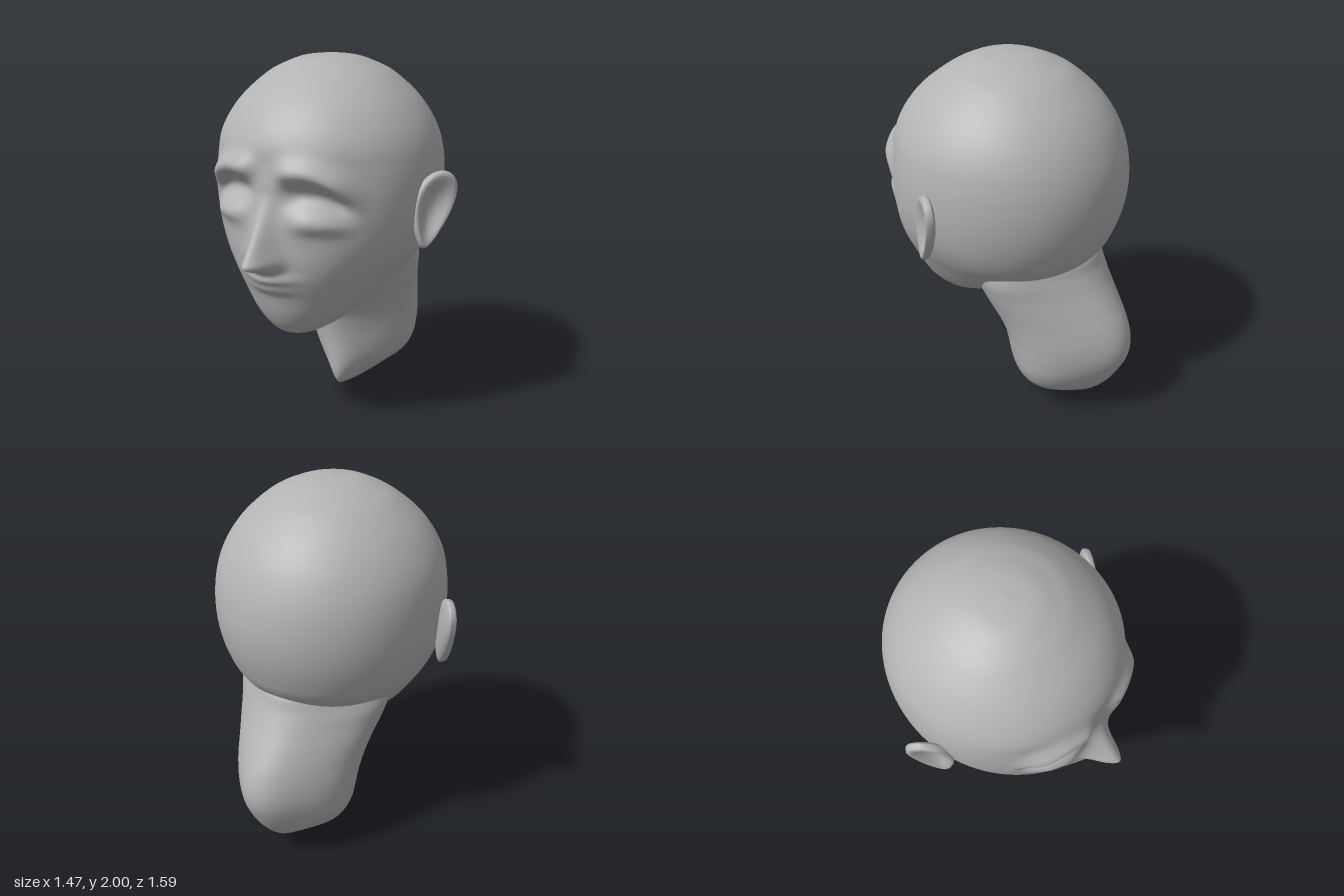
import * as THREE from 'three';

const skin = new THREE.MeshStandardMaterial({ color: 0xb3b3b3 });
skin.name = 'plain grey';

const bell = (v, c, s) => Math.exp(-(((v - c) / s) ** 2));
const step = THREE.MathUtils.smoothstep;
const band = (v, a, b, soft) => step(v, a - soft, a + soft) * (1 - step(v, b - soft, b + soft));

// Closed skin over horizontal rings; each row is [y, halfWidth, frontZ, backZ, widestZ]
function loft(rows, rings, sides, shape) {
  const spline = (f) => new THREE.CatmullRomCurve3(rows.map(f), false, 'catmullrom', 0.5);
  const a = spline((r) => new THREE.Vector3(r[0], r[1], r[2]));
  const b = spline((r) => new THREE.Vector3(r[3], r[4], 0));
  const pos = [], index = [];
  for (let i = 0; i <= rings; i++) {
    const p = a.getPoint(i / rings), q = b.getPoint(i / rings);
    for (let j = 0; j < sides; j++) {
      const t = (j / sides) * Math.PI * 2;
      pos.push(...shape(t, p.x, Math.max(p.y, 0), p.z, q.x, q.y));
      if (i === rings) continue;
      const k = i * sides + j, n = i * sides + ((j + 1) % sides);
      index.push(k, k + sides, n, n, k + sides, n + sides);
    }
  }
  const g = new THREE.BufferGeometry();
  g.setAttribute('position', new THREE.Float32BufferAttribute(pos, 3));
  g.setIndex(index);
  g.computeVertexNormals();
  return g;
}

// How far the facial features stand out from the smooth skull
function faceRelief(x, y) {
  const ax = Math.abs(x);
  // nose: ridge growing down to the tip, then tucking under
  const rise = y > 1.035
    ? Math.max(0, (1.37 - y) / 0.335) ** 1.3
    : step(y, 0.94, 1.035);
  const noseWidth = THREE.MathUtils.lerp(0.075, 0.045, step(y, 1.0, 1.35));
  let d = 0.175 * rise * bell(x, 0, noseWidth);
  d += 0.02 * bell(ax, 0.065, 0.035) * bell(y, 1.03, 0.05);
  // brow ridge, sloping down towards the temples
  const browY = 1.49 - 2.2 * Math.max(0, ax - 0.2) ** 2;
  d += (0.045 + 0.05 * ax) * bell(y, browY, 0.06) * band(ax, 0.08, 0.41, 0.07);
  // eye sockets, following the brow
  d -= 0.05 * bell(y, browY - 0.125, 0.06) * band(ax, 0.1, 0.4, 0.07);
  // closed lids, with a sharper lower edge
  d += 0.04 * bell(y, 1.24, y < 1.24 ? 0.055 : 0.07) * band(ax, 0.16, 0.4, 0.09);
  // lips
  d += 0.045 * bell(y, 0.93, 0.035) * bell(x, 0, 0.13);
  d += 0.025 * bell(y, 0.87, 0.03) * bell(x, 0, 0.12);
  return d;
}

function makeHead() {
  const rows = [
    [2.0, 0, 0, 0, 0],
    [1.985, 0.14, 0.14, -0.15, 0],
    [1.95, 0.24, 0.235, -0.26, 0],
    [1.9, 0.335, 0.325, -0.36, 0],
    [1.8, 0.45, 0.455, -0.48, 0],
    [1.7, 0.528, 0.54, -0.56, 0],
    [1.6, 0.578, 0.59, -0.612, 0],
    [1.5, 0.603, 0.6, -0.645, 0],
    [1.4, 0.613, 0.61, -0.66, 0],
    [1.3, 0.612, 0.615, -0.66, 0],
    [1.2, 0.6, 0.62, -0.645, 0],
    [1.1, 0.575, 0.622, -0.615, 0],
    [1.0, 0.53, 0.62, -0.57, 0],
    [0.9, 0.465, 0.605, -0.48, 0.02],
    [0.8, 0.395, 0.575, -0.32, 0.06],
    [0.7, 0.31, 0.54, -0.1, 0.14],
    [0.62, 0.21, 0.495, 0.07, 0.23],
    [0.565, 0.115, 0.435, 0.19, 0.3],
    [0.545, 0, 0.33, 0.33, 0.33],
  ];
  return loft(rows, 150, 200, (t, y, w, front, back, mid) => {
    const c = Math.cos(t), x = w * Math.sin(t);
    const z = mid + c * (c > 0 ? front - mid : mid - back);
    return [x, y, z + (c > 0 ? faceRelief(x, y) * step(c, 0.1, 0.5) : 0)];
  });
}

function makeNeck() {
  const rows = [
    [1.1, 0.3, 0.1, -0.35, -0.16],
    [1.0, 0.41, 0.15, -0.53, -0.18],
    [0.9, 0.44, 0.17, -0.578, -0.2],
    [0.8, 0.42, 0.17, -0.635, -0.23],
    [0.7, 0.392, 0.14, -0.7, -0.28],
    [0.6, 0.37, 0.055, -0.76, -0.32],
    [0.5, 0.356, -0.003, -0.792, -0.36],
    [0.4, 0.346, -0.033, -0.79, -0.38],
    [0.3, 0.328, -0.05, -0.75, -0.39],
    [0.2, 0.275, -0.057, -0.69, -0.39],
    [0.11, 0.175, -0.062, -0.61, -0.37],
    [0.05, 0.1, -0.08, -0.52, -0.33],
    [0.015, 0.045, -0.12, -0.41, -0.28],
    [0, 0, -0.25, -0.25, -0.25],
  ];
  // rounded throat and nape, flaring out to the muscles at the sides
  return loft(rows, 70, 96, (t, y, w, front, back, mid) => {
    const c = Math.cos(t), s = Math.sin(t);
    const x = w * s * (c > 0 ? 0.68 + 0.32 * Math.abs(s) ** 3 : 0.7 + 0.3 * s ** 4);
    return [x, y, mid + c * (c > 0 ? front - mid : mid - back)];
  });
}

// Ear: a flattened ball, broad at the top, hollowed on its front face and swept back
function makeEar(side) {
  const g = new THREE.SphereGeometry(1, 24, 18);
  const p = g.attributes.position;
  for (let i = 0; i < p.count; i++) {
    const sx = side * p.getX(i), sy = p.getY(i), sz = p.getZ(i);
    const half = 0.106 + 0.046 * sy;
    const u = half * (1 + sx);
    const n = sz > 0 ? 0.14 * sz * (1 - 1.1 * sz) : 0.035 * sz;
    p.setXYZ(i, side * (0.575 + 0.6 * u + 0.8 * n), 1.25 + 0.2 * sy, 0.135 - 0.8 * u + 0.6 * n);
  }
  g.computeVertexNormals();
  return g;
}

export function createModel() {
  const model = new THREE.Group();
  model.name = 'headBust';
  const add = (name, geometry) => {
    const mesh = new THREE.Mesh(geometry, skin);
    mesh.name = name;
    model.add(mesh);
  };
  add('head', makeHead());
  add('neck', makeNeck());
  add('leftEar', makeEar(1));
  add('rightEar', makeEar(-1));
  return model;
}
